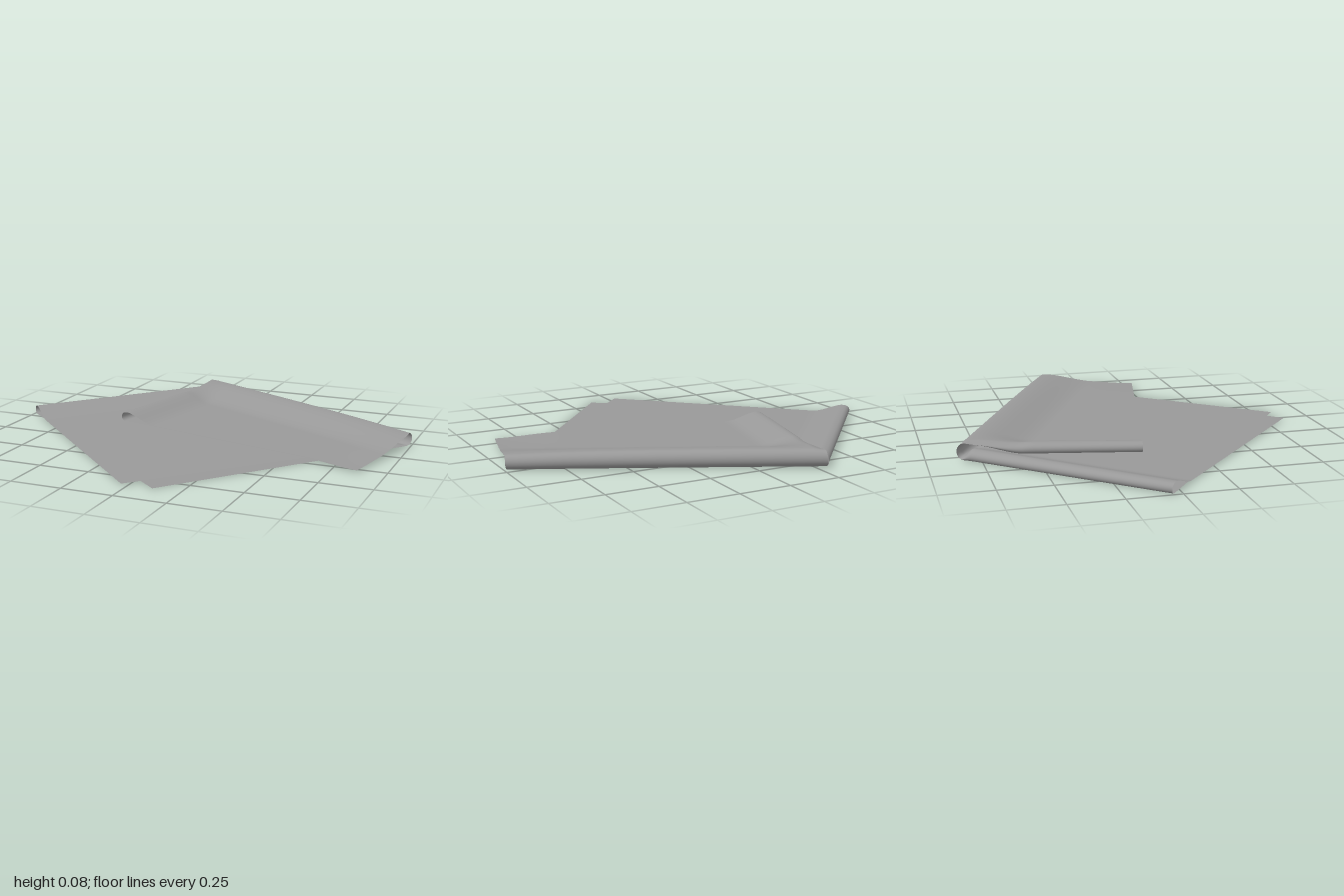
import * as THREE from 'three';

const V = (x, z) => new THREE.Vector2(x, z);

// Plan corners (x, z) of the cloth after folding
const A = V(-1, -0.05), B = V(-0.29, -0.86), C = V(1, -0.23);
const lowerCorner = V(0.115, 0.85), upperCorner = V(-0.03, 0.86);
const flapFold = V(-0.47, -0.025), flapCorner = V(0.87, 0.295), flapInner = V(0.865, 0.287);

const FLAP_BASE = 0.021;  // resting height of the folded-over flap
const R1 = 0.022;         // radius of the first fold
const smooth = THREE.MathUtils.smoothstep;

function lineDistance(p, a, b) {
  const d = b.clone().sub(a).normalize();
  return Math.abs((p.x - a.x) * d.y - (p.y - a.y) * d.x);
}

// Half-height of the round nose of a fold, at distance d from its edge
const nose = (d, r) => Math.sqrt(Math.max(0, r * r - (r - Math.min(d, r)) ** 2));

// How much of the fold's height is left further from the edge
const fade = (d, r, reach) => 1 - smooth(d, r, reach);

// s: across the first fold (negative = outer layer, positive = inner layer)
// t: across the second fold (negative = lying below, positive = flap on top)
function clothPoint(s, t) {
  const inner = s > 0, flap = t > 0;
  const a = Math.abs(s), b = Math.abs(t);
  const edge = flap ? flapFold : A;
  const far = flap ? (inner ? flapInner : flapCorner) : (inner ? upperCorner : lowerCorner);

  // Plan position within this quarter
  const p = B.clone().lerp(C, a).lerp(edge.clone().lerp(far, a), b);
  const d1 = lineDistance(p, edge, B);
  const d2 = lineDistance(p, B, C);
  const gap = 0.011 - 0.005 * b;

  // Second fold
  const r2 = 0.042 - 0.008 * a ** 4;
  const settle = smooth(d2, 0, 0.08);
  let y = r2 - nose(d2, r2);
  if (flap) {
    const top = r2 + nose(d2, r2) - gap * settle;
    y = THREE.MathUtils.lerp(FLAP_BASE, top, fade(d2, r2, 0.3));
    // The free corner droops past the layers below
    y -= 0.014 * smooth(a, 0.78, 1) * smooth(b, 0.4, 1);
  }

  // First fold, flattened where it runs into the second one
  const spread = smooth(d1, 0, 0.05);
  const open = flap ? smooth(d2, 0.03, 0.34) : settle;
  y += (R1 - nose(d1, R1)) * open;
  if (inner !== flap) y += 2 * nose(d1, R1) * fade(d1, R1, 0.2) * open + gap * spread * settle;

  // The inner layer sits just inside the outer one at the second fold
  if (inner) {
    const n = V(-(C.y - B.y), C.x - B.x).normalize();
    p.addScaledVector(n, 0.007 * spread * (1 - settle));
  }
  return [p.x, y + 0.001, p.y];
}

function clothGeometry(half) {
  const n = half * 2, pos = [], index = [];
  // Rows gather closely around the folds
  const ease = i => { const q = i / half - 1; return q * Math.abs(q); };
  for (let j = 0; j <= n; j++) {
    for (let i = 0; i <= n; i++) pos.push(...clothPoint(ease(i), ease(j)));
  }
  for (let j = 0; j < n; j++) {
    for (let i = 0; i < n; i++) {
      const k = j * (n + 1) + i, m = k + n + 1;
      index.push(k, m, k + 1, k + 1, m, m + 1);
    }
  }
  const g = new THREE.BufferGeometry();
  g.setAttribute('position', new THREE.Float32BufferAttribute(pos, 3));
  g.setIndex(index);
  g.computeVertexNormals();
  return g;
}

export function createModel() {
  const group = new THREE.Group();
  group.name = 'foldedTowel';
  const material = new THREE.MeshStandardMaterial({ color: 0x999999, side: THREE.DoubleSide });
  const cloth = new THREE.Mesh(clothGeometry(64), material);
  cloth.name = 'cloth';
  group.add(cloth);
  return group;
}
